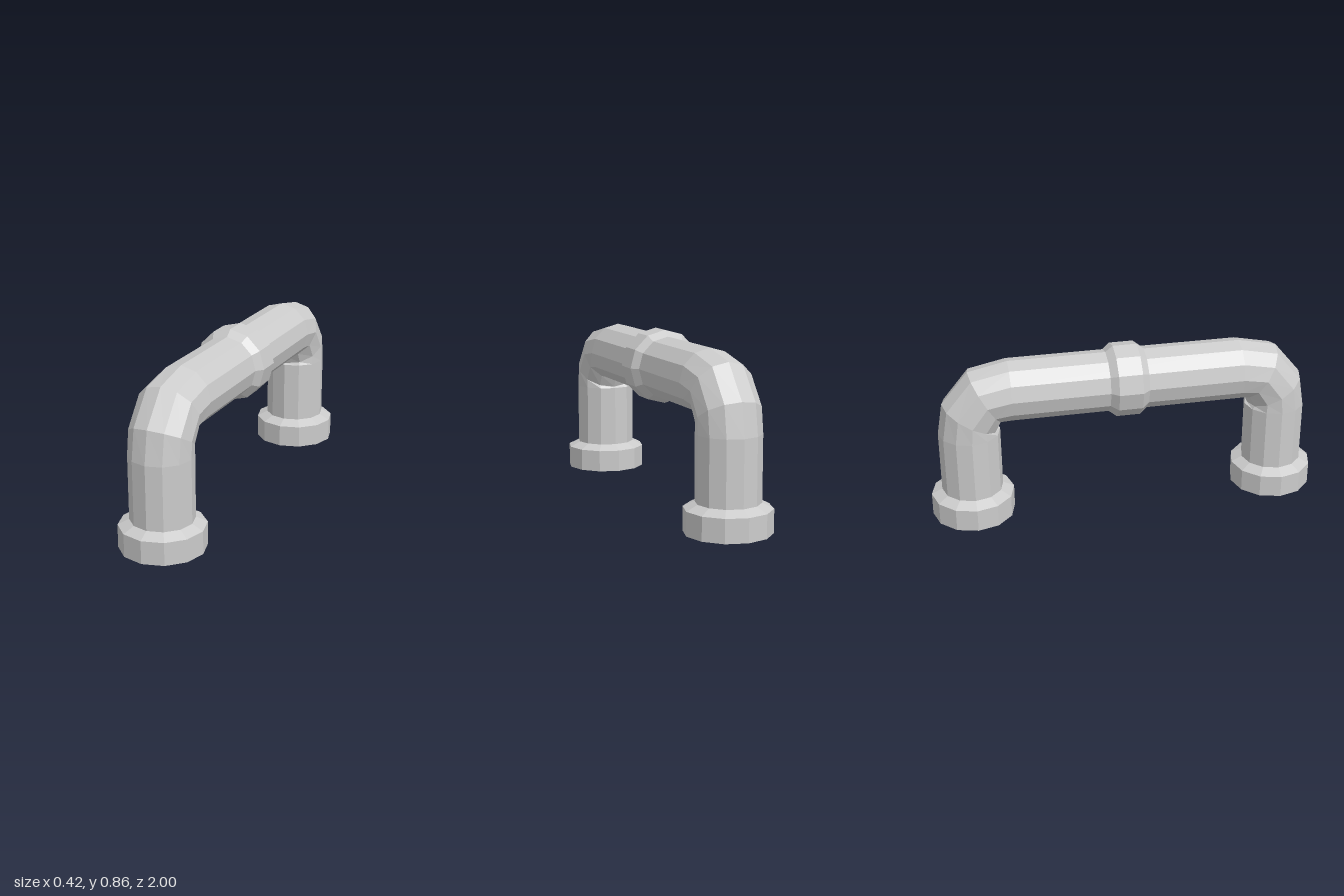
import * as THREE from 'three';

const SIDES = 12;
const PIPE_R = 0.155;
const AXIS_Y = 0.67; // height of the horizontal run
const LEG_Z = 0.79; // distance of each leg from the centre

const material = new THREE.MeshStandardMaterial({
  color: 0xcccccc, flatShading: true, side: THREE.DoubleSide,
});

function addMesh(parent, name, geometry) {
  const mesh = new THREE.Mesh(geometry, material);
  mesh.name = name;
  parent.add(mesh);
  return mesh;
}

// Twelve-sided turned part from [radius, height] pairs
function turned(profile) {
  return new THREE.LatheGeometry(profile.map(([r, y]) => new THREE.Vector2(r, y)), SIDES);
}

// Skin the pipe over rings given as [z, y, tilt of the outer side from vertical]
function pipeGeometry(rings) {
  const positions = [];
  const index = [];
  rings.forEach(([z, y, tilt]) => {
    for (let j = 0; j < SIDES; j++) {
      const a = (j / SIDES) * Math.PI * 2;
      const out = PIPE_R * Math.cos(a);
      positions.push(PIPE_R * Math.sin(a), y + out * Math.cos(tilt), z + out * Math.sin(tilt));
    }
  });
  for (let i = 0; i < rings.length - 1; i++) {
    for (let j = 0; j < SIDES; j++) {
      const k = (j + 1) % SIDES;
      const a = i * SIDES + j, b = i * SIDES + k;
      index.push(a, b, a + SIDES, b, b + SIDES, a + SIDES);
    }
  }
  const geometry = new THREE.BufferGeometry();
  geometry.setAttribute('position', new THREE.Float32BufferAttribute(positions, 3));
  geometry.setIndex(index);
  geometry.computeVertexNormals();
  return geometry;
}

export function createModel() {
  const model = new THREE.Group();
  model.name = 'pipe';

  // Pipe: front leg, elbow and run, then the same mirrored to the back
  const half = [
    [LEG_Z, 0.14, Math.PI / 2],
    [LEG_Z, 0.46, Math.PI / 2],
    [0.783, 0.544, Math.PI / 3],
    [0.705, 0.649, Math.PI / 6],
    [0.585, AXIS_Y, 0],
  ];
  const mirrored = half.map(([z, y, tilt]) => [-z, y, -tilt]).reverse();
  addMesh(model, 'bentPipe', pipeGeometry([...half, ...mirrored]));

  // Open flanges at the feet
  for (const [name, side] of [['frontFlange', 1], ['backFlange', -1]]) {
    const flange = addMesh(model, name, turned([[0.21, 0], [0.21, 0.115], [PIPE_R, 0.142]]));
    flange.position.z = side * LEG_Z;
  }

  // Bevelled coupling in the middle of the run
  const coupling = addMesh(model, 'coupling',
    turned([[PIPE_R, -0.097], [0.185, -0.06], [0.185, 0.06], [PIPE_R, 0.097]]));
  coupling.rotation.x = Math.PI / 2;
  coupling.position.y = AXIS_Y;

  return model;
}
